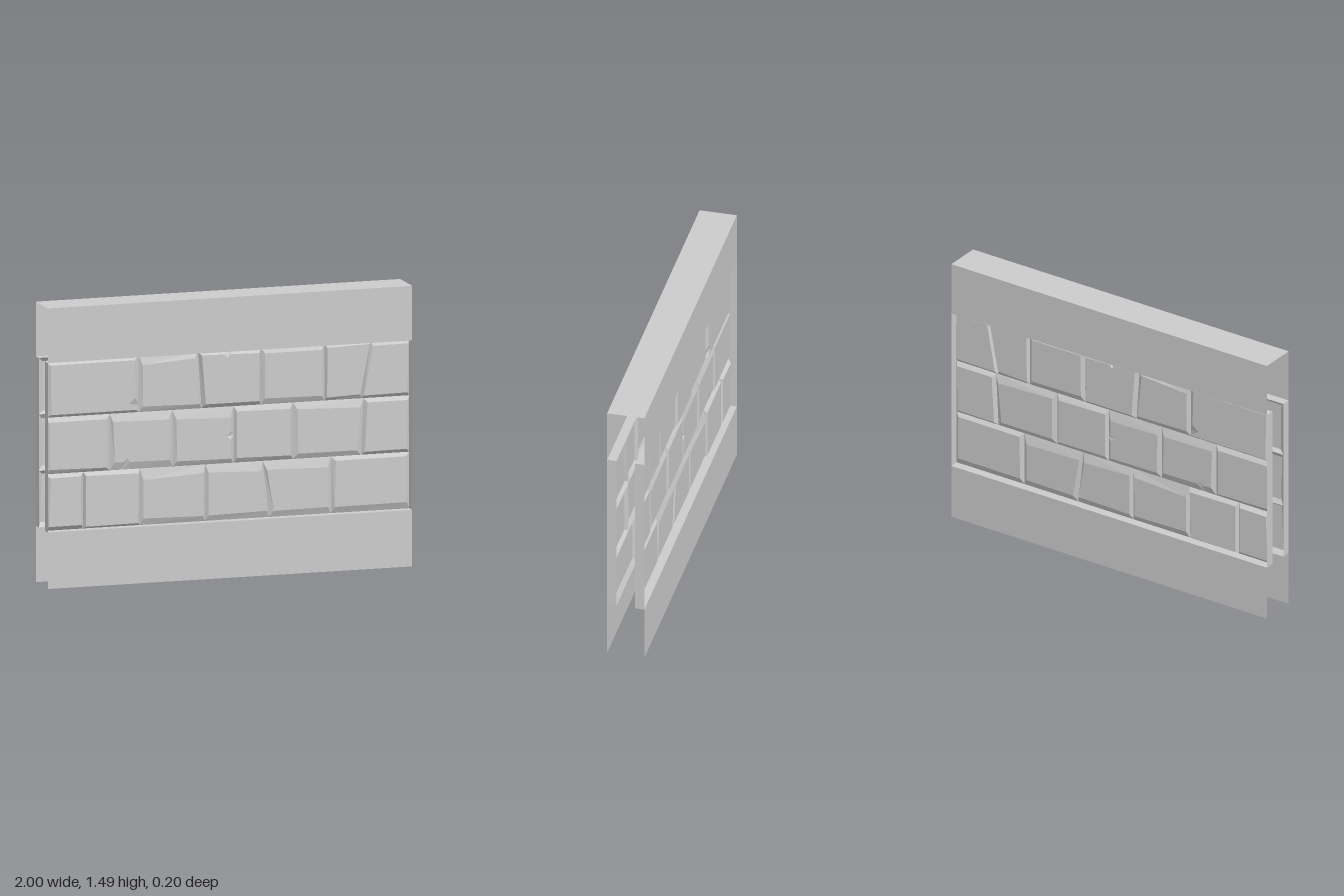
import * as THREE from 'three';

const TOP = 1.49, FACE = 0.1, FLOOR = 0.05, BAND = [0.3, 1.2], COURSE = 0.3;
const material = new THREE.MeshStandardMaterial({ color: 0xcccccc, flatShading: true, side: THREE.DoubleSide });

// Each course: inner joints as x, or [x at bottom, x at top] where slanted;
// bricks as [side bevel, bottom bevel, top bevel, rise above the floor], in hundredths;
// chips as brick: [edge (0 bottom, 1 right, 2 top, 3 left), place along edge, half width, depth]
const courses = [
  {
    name: 'lowerCourse',
    joints: [-0.79, -0.48, -0.12, [0.23, 0.195], 0.57],
    bricks: [[2, 2, 2, 2.4], [1.2, 1.5, 2, 1.9], [1.7, 3, 5, 1.5], [1.2, 3, 4.5, 1.5], [1.8, 3, 5, 1.5], [2, 3.5, 2, 1.7]],
    chips: {},
  },
  {
    name: 'middleCourse',
    joints: [-0.645, -0.3, 0.035, 0.36, [0.735, 0.75]],
    bricks: [[2, 2, 3, 1.6], [2, 3.5, 4, 1.6], [1.7, 2.5, 4.5, 1.6], [1.5, 2.2, 2.5, 1.8], [2.5, 3, 4, 1.6], [1.5, 2.2, 2.5, 1.8]],
    chips: { 1: [0, 0.22, 0.06, 0.02], 2: [1, 0.55, 0.08, 0.025] },
  },
  {
    name: 'upperCourse',
    joints: [-0.485, [-0.14, -0.16], 0.185, 0.535, [0.735, 0.785]],
    bricks: [[2.4, 2, 2, 2], [2, 3, 4, 1.5], [1.5, 2.5, 2, 2.4], [1.7, 3, 2.5, 1.6], [0.9, 2, 1.5, 1.7], [1.2, 2, 2, 1.7]],
    chips: { 0: [1, 0.13, 0.11, 0.04], 2: [2, 0.55, 0.06, 0.02] },
  },
];

// Small repeatable unevenness, -1 to 1
function makeJitter(seed) {
  return () => {
    seed = (seed * 16807) % 2147483647;
    return (seed / 2147483647) * 2 - 1;
  };
}

// Bevelled stone face: a base outline lofted to a smaller raised outline, which is then capped
function brickGeometry(base, top, baseZ, topZ) {
  const pos = [];
  const put = (p, z) => pos.push(p.x, p.y, z);
  base.forEach((b, i) => {
    const j = (i + 1) % base.length;
    put(b, baseZ); put(base[j], baseZ); put(top[j], topZ);
    put(b, baseZ); put(top[j], topZ); put(top[i], topZ);
  });
  for (const tri of THREE.ShapeUtils.triangulateShape(top, [])) tri.forEach((k) => put(top[k], topZ));
  const geometry = new THREE.BufferGeometry();
  geometry.setAttribute('position', new THREE.Float32BufferAttribute(pos, 3));
  geometry.computeVertexNormals();
  return geometry;
}

function makeCourse({ name, joints, bricks, chips }, y0, jitter) {
  const course = new THREE.Group();
  course.name = name;
  const v = (x, y) => new THREE.Vector2(x, y);
  const y1 = y0 + COURSE;
  const lines = [-1, ...joints, 1].map((j) => [j].flat()).map(([low, high = low]) => [v(low, y0), v(high, y1)]);
  bricks.forEach(([side, bottom, upper, rise], i) => {
    const [left, right] = [lines[i], lines[i + 1]];
    const base = [left[0], right[0], right[1], left[1]];
    const inset = [[side, bottom], [-side, bottom], [-side, -upper], [side, -upper]];
    const top = base.map((p, k) => v(
      p.x + inset[k][0] * 0.01 * (1 + 0.25 * jitter()),
      p.y + inset[k][1] * 0.01 * (1 + 0.25 * jitter())));
    if (chips[i]) {
      // Nick in one edge of the raised face
      const [edge, at, half, depth] = chips[i], next = (edge + 1) % 4;
      const along = (ring, s) => ring[edge].clone().lerp(ring[next], s);
      const steps = [at - half, at, at + half];
      const dir = top[next].clone().sub(top[edge]).normalize();
      const cut = steps.map((s) => along(top, s));
      cut[1].add(v(-dir.y, dir.x).multiplyScalar(depth));
      const baseCut = steps.map((s) => along(base, s));
      top.splice(edge + 1, 0, ...cut);
      base.splice(edge + 1, 0, ...baseCut);
    }
    const brick = new THREE.Mesh(brickGeometry(base, top, FLOOR, FLOOR + rise * 0.01), material);
    brick.name = 'brick';
    course.add(brick);
  });
  return course;
}

function sheet(name, w, h, position, rx = 0, ry = 0) {
  const mesh = new THREE.Mesh(new THREE.PlaneGeometry(w, h), material);
  mesh.name = name;
  mesh.position.set(...position);
  mesh.rotation.set(rx, ry, 0);
  return mesh;
}

// One face of the wall: plain panels above and below a recessed band of bricks
function makeSide(name) {
  const side = new THREE.Group();
  side.name = name;
  const [y0, y1] = BAND, depth = FACE - FLOOR, mid = (FACE + FLOOR) / 2;
  side.add(
    sheet('lowerPanel', 2, y0, [0, y0 / 2, FACE]),
    sheet('upperPanel', 2, TOP - y1, [0, (TOP + y1) / 2, FACE]),
    sheet('lowerLedge', 2, depth, [0, y0, mid], -Math.PI / 2),
    sheet('upperLedge', 2, depth, [0, y1, mid], Math.PI / 2));
  for (const s of [-1, 1]) side.add(sheet('endStrip', depth, y1 - y0, [s, (y0 + y1) / 2, mid], 0, s * Math.PI / 2));
  const jitter = makeJitter(4271);
  courses.forEach((c, row) => side.add(makeCourse(c, y0 + row * COURSE, jitter)));
  return side;
}

export function createModel() {
  const wall = new THREE.Group();
  wall.name = 'brickWall';
  const front = makeSide('frontSide');
  const back = makeSide('backSide');
  back.scale.z = -1;
  // Flat cap joining both sides; the ends and the underside stay open
  wall.add(front, back, sheet('topCap', 2, 2 * FACE, [0, TOP, 0], -Math.PI / 2));
  return wall;
}
